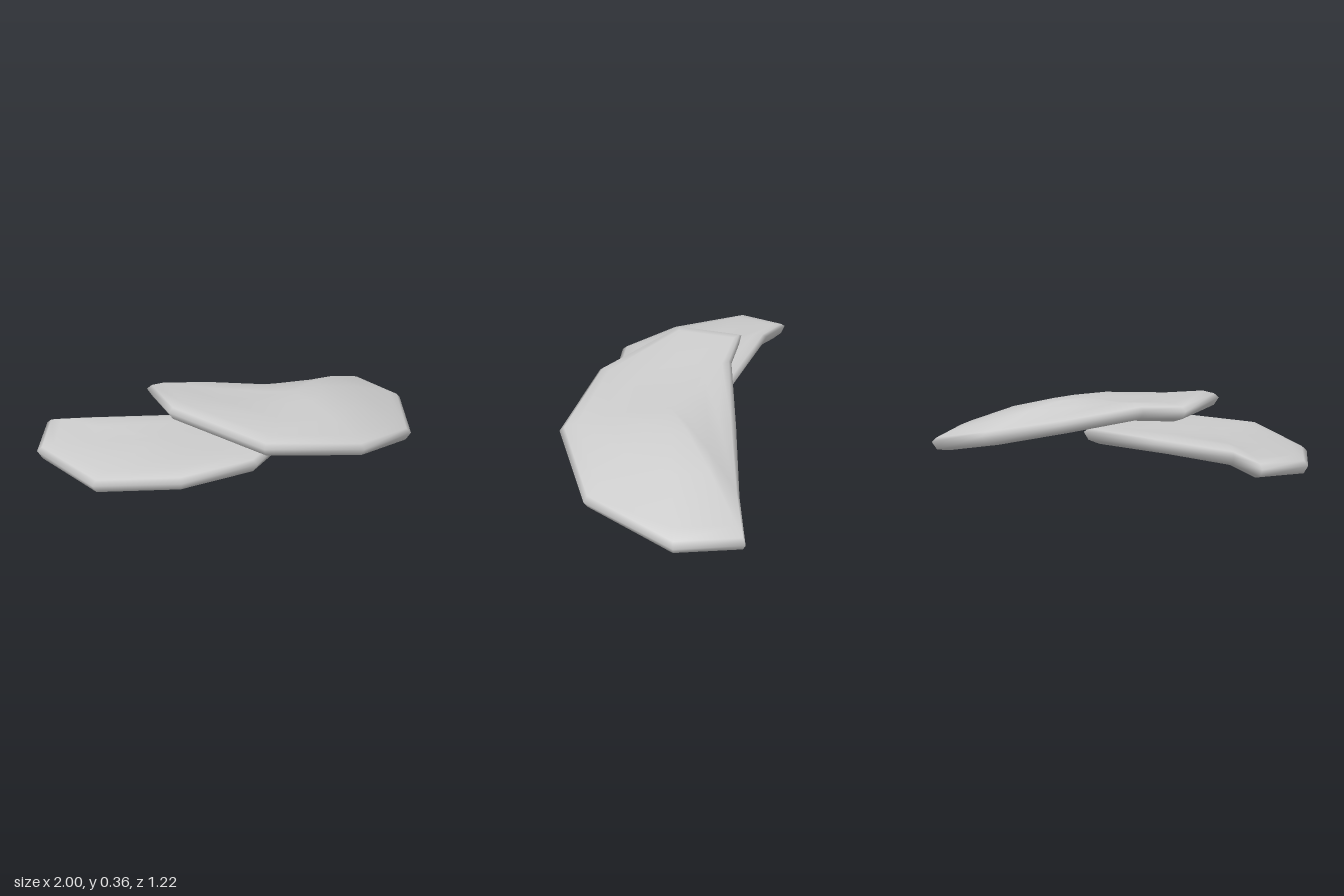
import * as THREE from 'three';

// Cross-section from underside to top: [share of the way to the centre, fixed inset, share of centre height, y offset]
const SECTION = [
  [0.75, 0, 0.88, -0.075],
  [0.45, 0, 0.58, -0.07],
  [0, 0.085, 0.06, -0.06],
  [0, 0.025, 0, -0.04],
  [0, 0, 0, 0],
  [0, 0.025, 0.02, 0.02],
  [0, 0.085, 0.08, 0.033],
  [0.45, 0, 0.6, 0.015],
  [0.75, 0, 0.9, 0.005],
];

// A bent slab with a rounded rim, lofted from its outline [x, y, z] to a centre point
function plate(name, outline, center) {
  const n = outline.length;
  const c = new THREE.Vector3(...center);
  const pos = [], index = [];
  for (const [share, inset, rise, dy] of SECTION) {
    for (const [x, y, z] of outline) {
      const t = share + inset / Math.hypot(c.x - x, c.z - z);
      pos.push(x + (c.x - x) * t, y + (c.y - y) * rise + dy, z + (c.z - z) * t);
    }
  }
  for (let r = 0; r < SECTION.length - 1; r++) {
    for (let i = 0; i < n; i++) {
      const j = (i + 1) % n;
      const a = r * n + i, b = r * n + j;
      index.push(a, a + n, b, b, a + n, b + n);
    }
  }
  // Close underside and top
  const bottom = pos.length / 3, top = bottom + 1, last = (SECTION.length - 1) * n;
  pos.push(c.x, c.y - 0.08, c.z, c.x, c.y, c.z);
  for (let i = 0; i < n; i++) {
    const j = (i + 1) % n;
    index.push(bottom, i, j, top, last + j, last + i);
  }
  const geo = new THREE.BufferGeometry();
  geo.setAttribute('position', new THREE.Float32BufferAttribute(pos, 3));
  geo.setIndex(index);
  geo.computeVertexNormals();
  const mesh = new THREE.Mesh(geo, new THREE.MeshStandardMaterial({ color: 0xcccccc }));
  mesh.name = name;
  return mesh;
}

export function createModel() {
  const group = new THREE.Group();
  group.name = 'overlappingPlates';

  // Large plate, sloping down towards +x
  group.add(plate('upperPlate', [
    [-0.435, 0.335, -0.07], [-0.2, 0.305, -0.11], [0.2, 0.2, -0.3], [0.6, 0.11, -0.48],
    [0.85, 0.062, -0.61], [1, 0.06, -0.33], [0.89, 0.083, 0.17], [0.54, 0.175, 0.49],
    [0.04, 0.24, 0.53], [-0.37, 0.345, 0.26],
  ], [0.3, 0.29, 0.0]));

  // Smaller plate, tucked beneath the large one
  group.add(plate('lowerPlate', [
    [-1, 0.135, 0.13], [-0.94, 0.16, -0.14], [-0.75, 0.175, -0.1], [-0.25, 0.15, -0.105],
    [0.23, 0.13, -0.1], [0.265, 0.135, 0.17], [0.02, 0.14, 0.48], [-0.36, 0.14, 0.605],
    [-0.76, 0.1, 0.475],
  ], [-0.4, 0.18, 0.2]));

  return group;
}
